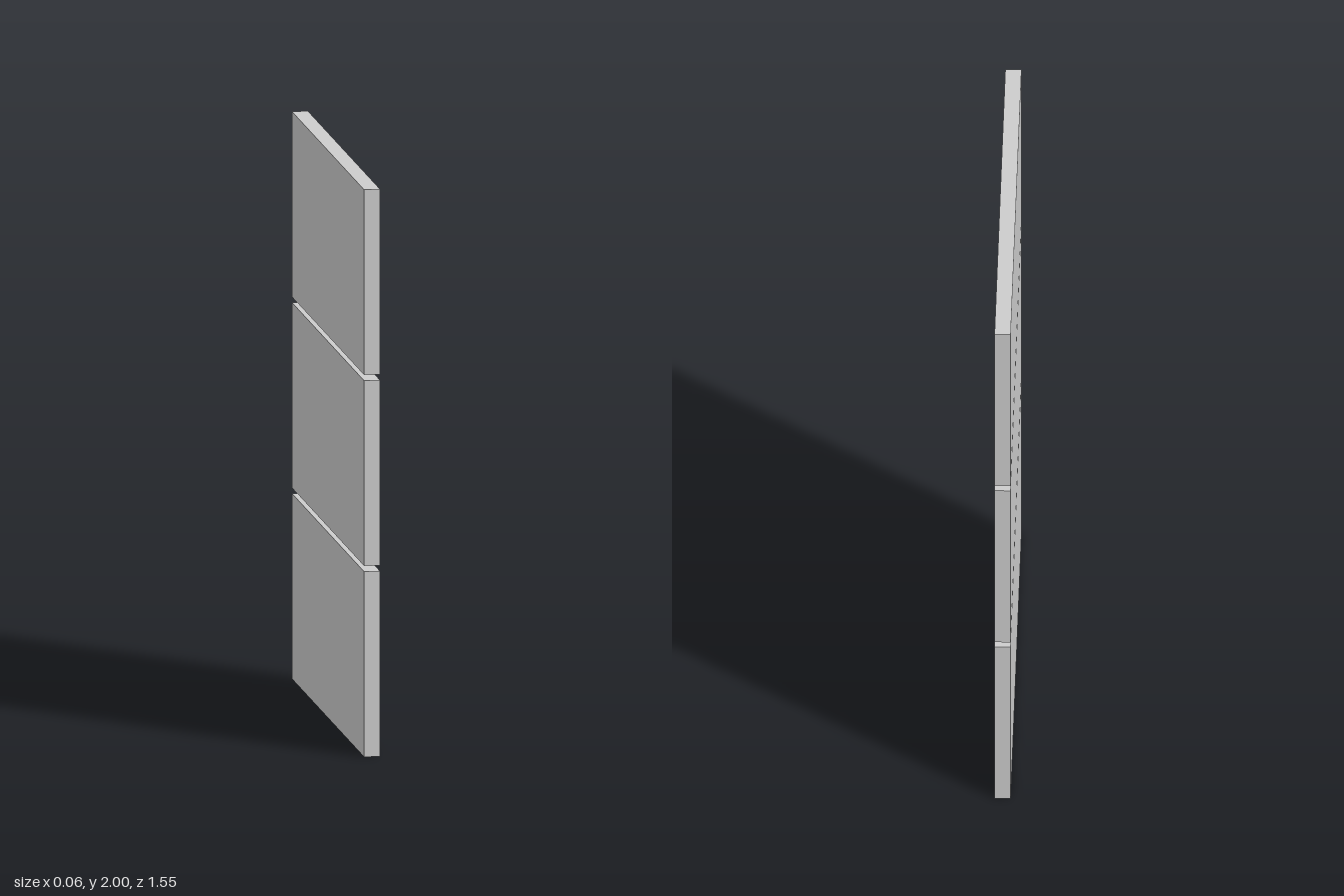
import * as THREE from 'three';

export function createModel() {
  const group = new THREE.Group();
  group.name = 'slattedPanel';
  const material = new THREE.MeshStandardMaterial({ color: 0xcccccc, flatShading: true });

  // Three equal boards stacked with narrow gaps
  const count = 3, gap = 0.02, thickness = 0.056, depth = 1.55;
  const height = (2 - gap * (count - 1)) / count;
  const geometry = new THREE.BoxGeometry(thickness, height, depth);
  const names = ['lowerBoard', 'middleBoard', 'upperBoard'];

  names.forEach((name, i) => {
    const board = new THREE.Mesh(geometry, material);
    board.name = name;
    board.position.y = height / 2 + i * (height + gap);
    group.add(board);
  });
  return group;
}
